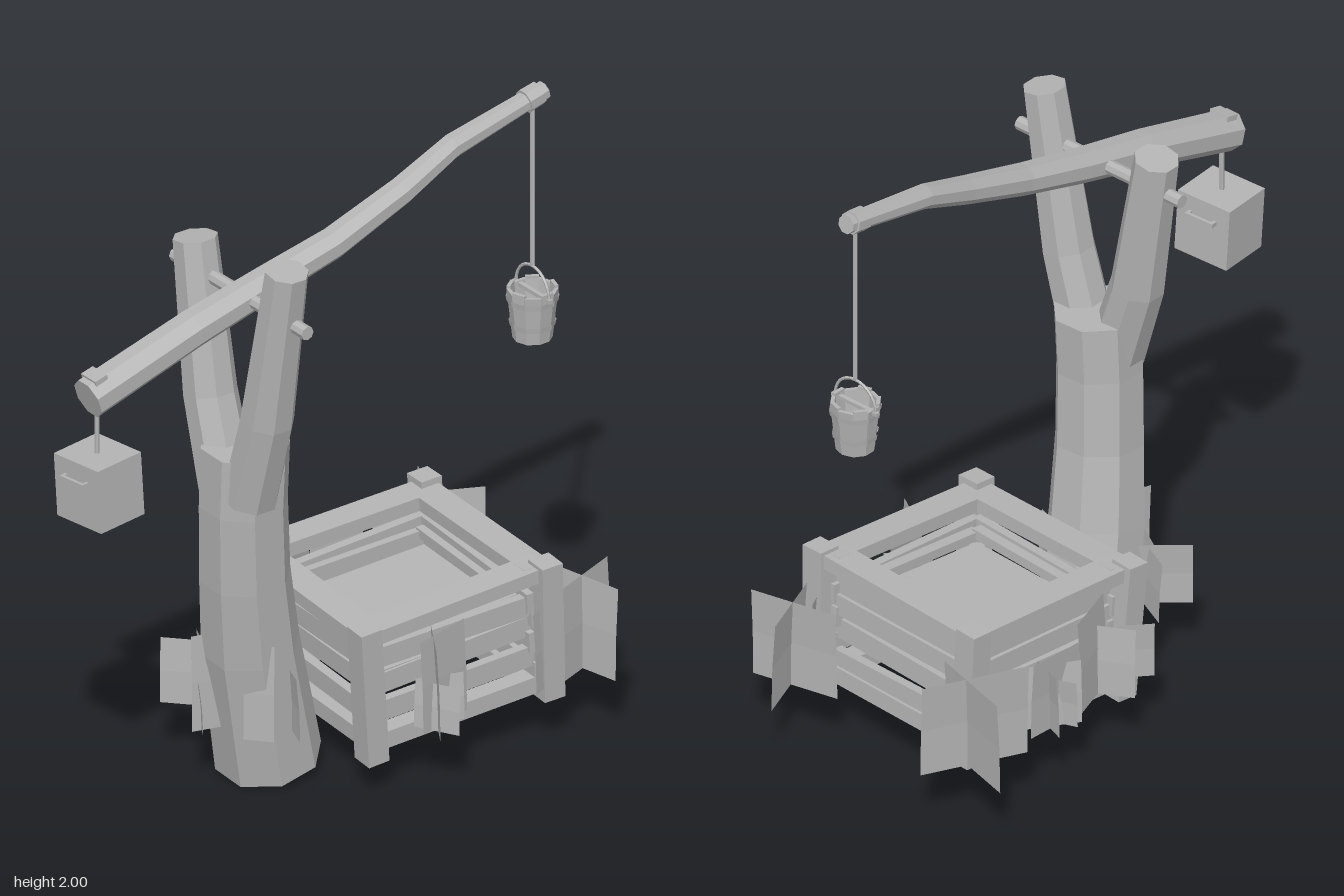
import * as THREE from 'three';

const V = (x, y, z) => new THREE.Vector3(x, y, z);

// Faceted limb swept through [x, y, z, radius] points, with closed ends
function limb(path, sides, turn = 0) {
  const pts = path.map((p) => V(p[0], p[1], p[2]));
  const last = pts.length - 1;
  const whole = pts[last].clone().sub(pts[0]).normalize();
  const ref = Math.abs(whole.y) > 0.8 ? V(0, 0, 1) : V(0, 1, 0);
  const rings = pts.map((p, i) => {
    const t = pts[Math.min(i + 1, last)].clone().sub(pts[Math.max(i - 1, 0)]).normalize();
    const u = ref.clone().cross(t).normalize();
    const v = t.clone().cross(u);
    return Array.from({ length: sides }, (_, j) => {
      const a = turn + (j / sides) * Math.PI * 2;
      return p.clone().addScaledVector(u, Math.cos(a) * path[i][3]).addScaledVector(v, Math.sin(a) * path[i][3]);
    });
  });
  const out = [];
  for (let j = 0; j < sides; j++) {
    const k = (j + 1) % sides;
    for (let i = 0; i < last; i++) {
      const [a, b, c, d] = [rings[i][j], rings[i][k], rings[i + 1][k], rings[i + 1][j]];
      out.push(a, b, c, a, c, d);
    }
    out.push(pts[0], rings[0][k], rings[0][j], pts[last], rings[last][j], rings[last][k]);
  }
  const g = new THREE.BufferGeometry().setFromPoints(out);
  g.computeVertexNormals();
  return g;
}

export function createModel() {
  const model = new THREE.Group();
  model.name = 'wellSweep';
  const wood = new THREE.MeshStandardMaterial({ color: 0xb4b4b4, flatShading: true, side: THREE.DoubleSide });
  wood.name = 'plain grey';

  const add = (name, geo, parent = model, pos = [0, 0, 0], rot = [0, 0, 0]) => {
    const m = new THREE.Mesh(geo, wood);
    m.name = name;
    m.position.set(...pos);
    m.rotation.set(...rot);
    parent.add(m);
    return m;
  };
  const box = (name, size, pos, parent, rot) => add(name, new THREE.BoxGeometry(...size), parent, pos, rot);

  // Forked trunk
  add('trunk', limb([
    [0.005, 0.035, 0.12, 0.163], [0.035, 0.45, 0.21, 0.15], [0.055, 0.7, 0.245, 0.139],
    [0.068, 0.95, 0.26, 0.136], [0.075, 1.14, 0.258, 0.137]], 8, 0.39));
  add('rightFork', limb([
    [0.026, 1.0, 0.288, 0.088], [-0.06, 1.27, 0.285, 0.083], [-0.14, 1.75, 0.28, 0.069]], 8, 0.39));
  add('leftFork', limb([
    [0.135, 1.0, 0.288, 0.088], [0.216, 1.29, 0.285, 0.083], [0.305, 1.815, 0.28, 0.067]], 8, 0.39));
  add('pivotBar', limb([[-0.245, 1.645, 0.275, 0.022], [0.4, 1.645, 0.275, 0.022]], 8));

  // Swinging beam, with a collar at the rope end
  add('beam', limb([
    [0.085, 1.48, 0.85, 0.064], [0.09, 1.595, 0.465, 0.06], [0.095, 1.662, 0.2, 0.055], [0.106, 1.725, -0.04, 0.05],
    [0.1, 1.815, -0.3, 0.044], [0.085, 1.895, -0.5, 0.038], [0.077, 1.968, -0.85, 0.03]], 8, 0.39));
  add('beamCollar', limb([[0.079, 1.954, -0.775, 0.038], [0.077, 1.965, -0.83, 0.037]], 8, 0.39));
  box('beamPeg', [0.07, 0.02, 0.045], [0.085, 1.545, 0.825], model, [0.25, 0, 0]);

  // Counterweight block
  add('weightHanger', limb([[0.083, 1.28, 0.815, 0.008], [0.083, 1.45, 0.815, 0.008]], 6));
  const weight = new THREE.Group();
  weight.name = 'counterweight';
  weight.position.set(0.087, 1.187, 0.81);
  weight.rotation.set(0.03, 0.1, 0.04);
  model.add(weight);
  box('weightBlock', [0.19, 0.205, 0.175], [0, 0, 0], weight);
  for (const s of [-1, 1]) {
    box('staple', [0.1, 0.014, 0.01], [0, 0.045, s * 0.105], weight);
    for (const x of [-0.045, 0.045]) box('stapleLeg', [0.01, 0.014, 0.025], [x, 0.045, s * 0.095], weight);
  }

  // Rope and bucket
  add('rope', limb([[0.08, 1.4, -0.805, 0.007], [0.08, 1.95, -0.805, 0.007]], 6));
  const bucket = new THREE.Group();
  bucket.name = 'bucket';
  bucket.position.set(0.08, 1.165, -0.805);
  model.add(bucket);
  add('bucketBody', new THREE.LatheGeometry([
    new THREE.Vector2(0, 0), new THREE.Vector2(0.06, 0), new THREE.Vector2(0.077, 0.16),
    new THREE.Vector2(0.065, 0.16), new THREE.Vector2(0.05, 0.015), new THREE.Vector2(0, 0.015)], 10), bucket);
  for (const [y, r] of [[0.05, 0.068], [0.13, 0.077]]) {
    add('bucketHoop', new THREE.CylinderGeometry(r + 0.003, r, 0.018, 10, 1, true), bucket, [0, y, 0]);
  }
  for (let i = 0; i < 5; i++) {
    const a = ((i * 2 + 0.5) / 10) * Math.PI * 2;
    box('raisedStave', [0.042, 0.03, 0.012], [Math.sin(a) * 0.068, 0.153, Math.cos(a) * 0.068], bucket, [0, a, 0]);
  }
  add('bucketHandle', new THREE.TorusGeometry(0.08, 0.005, 5, 14, Math.PI), bucket, [0, 0.155, 0]);
  box('handlePin', [0.18, 0.012, 0.014], [0, 0.15, 0], bucket);

  // Slatted well crib, slightly turned and tipped
  const crib = new THREE.Group();
  crib.name = 'wellCrib';
  crib.position.set(0.032, 0.355, -0.343);
  crib.rotation.set(0.065, -0.075, -0.01, 'YXZ');
  model.add(crib);
  for (const x of [-1, 1]) for (const z of [-1, 1]) {
    box('cornerPost', [0.078, 0.455, 0.072], [x * 0.32, 0, z * 0.315], crib, [z * 0.02, 0, x * -0.03]);
  }
  for (let side = 0; side < 4; side++) {
    const wall = new THREE.Group();
    wall.name = 'cribWall';
    wall.rotation.y = side * Math.PI / 2;
    crib.add(wall);
    box('topBoard', [0.64, 0.045, 0.095], [0, 0.19, 0.295], wall, [0, 0, side % 2 ? 0.015 : -0.015]);
    box('bottomBoard', [0.62, 0.055, 0.06], [0, -0.185, 0.28], wall);
    // Slats of facing walls are staggered
    const heights = side < 2 ? [-0.09, 0, 0.085] : [-0.135, -0.045, 0.045, 0.1];
    heights.forEach((y, i) => {
      box('slat', [0.62, 0.066, 0.03], [0, y, 0.285 - (i % 2) * 0.012], wall, [0, 0, ((i + side) % 3 - 1) * 0.02]);
    });
    box('innerLip', [0.5, 0.03, 0.035], [0, 0.095, 0.25], wall, [0, 0, 0.015]);
  }
  box('waterSurface', [0.56, 0.006, 0.56], [0, 0.03, 0], crib);

  // Upright grass cards: [x1, z1, x2, z2, top height]
  const cards = [
    [-0.49, -0.80, -0.21, -0.72, 0.5], [-0.25, -0.885, -0.4, -0.58, 0.5], [-0.28, -0.77, -0.17, -0.75, 0.4],
    [0.31, -0.92, 0.4, -0.68, 0.49], [0.21, -0.74, 0.49, -0.8, 0.49], [0.35, -0.71, 0.42, -0.56, 0.45],
    [-0.42, -0.46, -0.31, -0.42, 0.4], [-0.41, -0.35, -0.31, -0.5, 0.4], [-0.42, -0.38, -0.31, -0.42, 0.35],
    [-0.36, -0.52, -0.37, -0.33, 0.45], [-0.38, -0.32, -0.32, -0.14, 0.5], [-0.44, -0.15, -0.31, -0.22, 0.42],
    [-0.4, -0.02, -0.33, -0.1, 0.38], [0.33, -0.25, 0.49, -0.15, 0.49], [0.36, -0.15, 0.49, -0.22, 0.34],
    [0.37, -0.34, 0.42, -0.14, 0.49], [0.36, -0.16, 0.41, -0.3, 0.34],
    [-0.22, 0.2, -0.05, 0.28, 0.39], [-0.22, 0.35, -0.1, 0.24, 0.4], [-0.14, 0.28, 0.03, 0.38, 0.35],
    [-0.01, 0.39, 0.03, 0.25, 0.5], [0.16, 0.15, 0.24, 0.18, 0.4], [0.12, 0.3, 0.19, 0.24, 0.5],
  ];
  cards.forEach(([x1, z1, x2, z2, top], i) => {
    const len = Math.hypot(x2 - x1, z2 - z1);
    const h = top - 0.19;
    const g = new THREE.PlaneGeometry(len, h, 1, 2);
    const p = g.attributes.position;
    // Bow each card a little toward its top
    for (let k = 0; k < p.count; k++) {
      const t = p.getY(k) / h + 0.5;
      p.setZ(k, t * t * 0.012 * (i % 2 ? 1 : -1));
    }
    g.computeVertexNormals();
    add('grassCard', g, model, [(x1 + x2) / 2, 0.19 + h / 2, (z1 + z2) / 2], [0, -Math.atan2(z2 - z1, x2 - x1), 0]);
  });

  return model;
}
